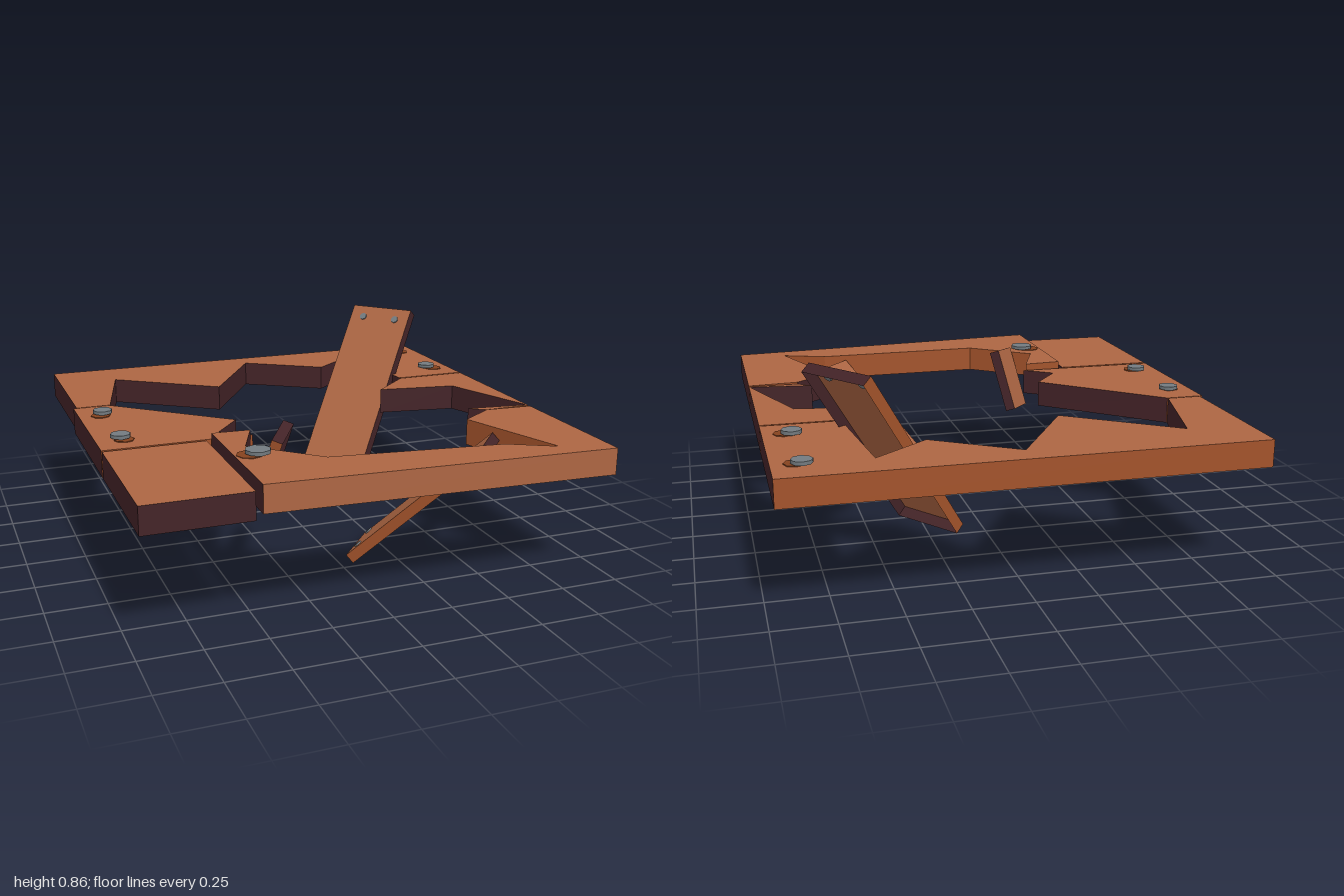
import * as THREE from 'three';

// Planks are open underneath, so every face shows from both sides
const mat = (name, color) =>
  Object.assign(new THREE.MeshStandardMaterial({ color, side: THREE.DoubleSide }), { name });

export function createModel() {
  const wood = mat('wood', 0xad6643);
  const rawWood = mat('rawWood', 0xa3532b);
  const endGrain = mat('endGrain', 0x432327);
  const iron = mat('iron', 0x737b80);
  const stain = mat('stain', 0x86431f);
  const model = new THREE.Group();
  const BOTTOM = 0.46, TOP = 0.572;

  // Hollow plank: a top and side walls from an outline of [x, z], without an underside.
  // walls has one letter per edge: w wood, r raw wood, e end grain. rise lifts the low-x end.
  function shell(name, outline, walls, bottom, top, rise = 0) {
    const at = (i, y) => {
      const [x, z] = outline[i % outline.length];
      return [x, y + rise * (0.96 - x) / 1.48, z];
    };
    const faces = { w: [], r: [], e: [] };
    const contour = outline.map(([x, z]) => new THREE.Vector2(x, -z));
    for (const [a, b, c] of THREE.ShapeUtils.triangulateShape(contour, [])) {
      faces.w.push(...at(a, top), ...at(b, top), ...at(c, top));
    }
    outline.forEach((_, i) => {
      const a = at(i, bottom), b = at(i + 1, bottom), c = at(i + 1, top), d = at(i, top);
      faces[walls[i]].push(...a, ...b, ...c, ...a, ...c, ...d);
    });
    const geo = new THREE.BufferGeometry();
    const lists = [faces.w, faces.r, faces.e];
    geo.setAttribute('position', new THREE.Float32BufferAttribute(lists.flat(), 3));
    let start = 0;
    lists.forEach((list, i) => {
      geo.addGroup(start, list.length / 3, i);
      start += list.length / 3;
    });
    geo.computeVertexNormals();
    const mesh = new THREE.Mesh(geo, [wood, rawWood, endGrain]);
    mesh.name = name;
    return mesh;
  }

  // Floor planks
  const plank = (name, outline, walls, rise) => model.add(shell(name, outline, walls, BOTTOM, TOP, rise));
  plank('backPlank', [[-0.95, -1], [-0.95, -0.33], [-0.8, -0.33], [-0.685, -0.78], [-0.25, -0.47],
    [0.016, -0.89], [0.35, -0.67], [0.577, -0.85], [0.63, -0.33], [0.96, -0.33], [0.96, -1]], 'ereeeeeerer');
  plank('middleRightPlank', [[-0.965, -0.323], [-0.965, 0.325], [-0.34, 0.325], [-0.46, 0.24],
    [-0.34, 0.09], [-0.8, -0.323]], 'ereeer');
  plank('middleLeftPlank', [[0.96, -0.32], [0.63, -0.32], [0.45, -0.155], [0.8, -0.1],
    [0.956, 0.315], [0.68, 0.28], [0.74, 0.325], [0.96, 0.325]], 'reeeeere');
  plank('frontShortPlank', [[-0.965, 0.34], [-0.965, 0.98], [-0.54, 0.98], [-0.54, 0.34]], 'eeer');
  plank('frontPlank', [[-0.52, 0.34], [-0.52, 1], [0.96, 1], [0.96, 0.34], [0.74, 0.34], [0.58, 0.455],
    [0.746, 0.91], [0.555, 0.82], [-0.185, 0.77], [-0.44, 0.545], [-0.355, 0.34]], 'ewererrrrer'.replace(' ', ''), 0.03);

  function disc(parent, name, radius, y0, y1, material, x = 0, z = 0) {
    const mesh = new THREE.Mesh(new THREE.CylinderGeometry(radius, radius, y1 - y0, 8), material);
    mesh.name = name;
    mesh.position.set(x, (y0 + y1) / 2, z);
    parent.add(mesh);
  }

  // Nail with a flat head, a shaft through the plank and a stain beside it
  function nail(x, z, r, y, dx, dz) {
    const group = new THREE.Group();
    group.name = 'nail';
    disc(group, 'head', r, 0.007, 0.022, iron);
    disc(group, 'shaft', r * 0.5, -0.108, 0.008, iron);
    disc(group, 'stain', r, -0.004, 0.004, stain, dx, dz);
    group.position.set(x, y, z);
    model.add(group);
  }
  nail(0.845, -0.86, 0.042, TOP, 0.025, 0.015);
  nail(0.845, -0.475, 0.042, TOP, 0.03, 0.015);
  nail(-0.86, -0.19, 0.042, TOP, -0.012, 0.02);
  nail(-0.86, 0.19, 0.042, TOP, 0.01, 0.022);
  nail(-0.427, 0.66, 0.052, TOP + 0.028, -0.035, 0);

  // Loose board: low and high are the middles of the upper face's ends, across points along its width.
  // nails are [distance along from the middle, distance across].
  function board(name, low, high, across, thickness, nails = []) {
    const p = new THREE.Vector3(...low), q = new THREE.Vector3(...high), w = new THREE.Vector3(...across);
    const along = q.clone().sub(p), l = along.length() / 2, h = w.length() / 2;
    along.normalize();
    const up = w.clone().cross(along).normalize();
    if (up.y < 0) up.negate();
    const side = along.clone().cross(up);
    const group = new THREE.Group();
    group.name = name;
    group.add(shell('body', [[-l, -h], [-l, h], [l, h], [l, -h]], side.x > 0 ? 'eeer' : 'eree', -thickness, 0));
    for (const [u, v] of nails) disc(group, 'boardNail', 0.018, -0.012, 0.006, iron, u, v);
    group.quaternion.setFromRotationMatrix(new THREE.Matrix4().makeBasis(along, up, side));
    group.position.copy(p).add(q).multiplyScalar(0.5);
    model.add(group);
  }
  board('frontLooseBoard', [0.115, 0.032, 0.35], [0.535, 0.56, 0.705], [0.17, 0, -0.2], 0.045,
    [[-0.33, -0.08], [-0.33, 0.08]]);
  board('backLooseBoard', [0.247, 0.12, -0.31], [0.672, 0.862, -0.643], [0.195, 0, 0.26], 0.05,
    [[0.4, -0.09], [0.4, 0.09]]);
  board('smallSplinter', [-0.357, 0.365, 0.43], [-0.295, 0.64, 0.51], [-0.11, -0.035, 0.165], 0.045);

  return model;
}
